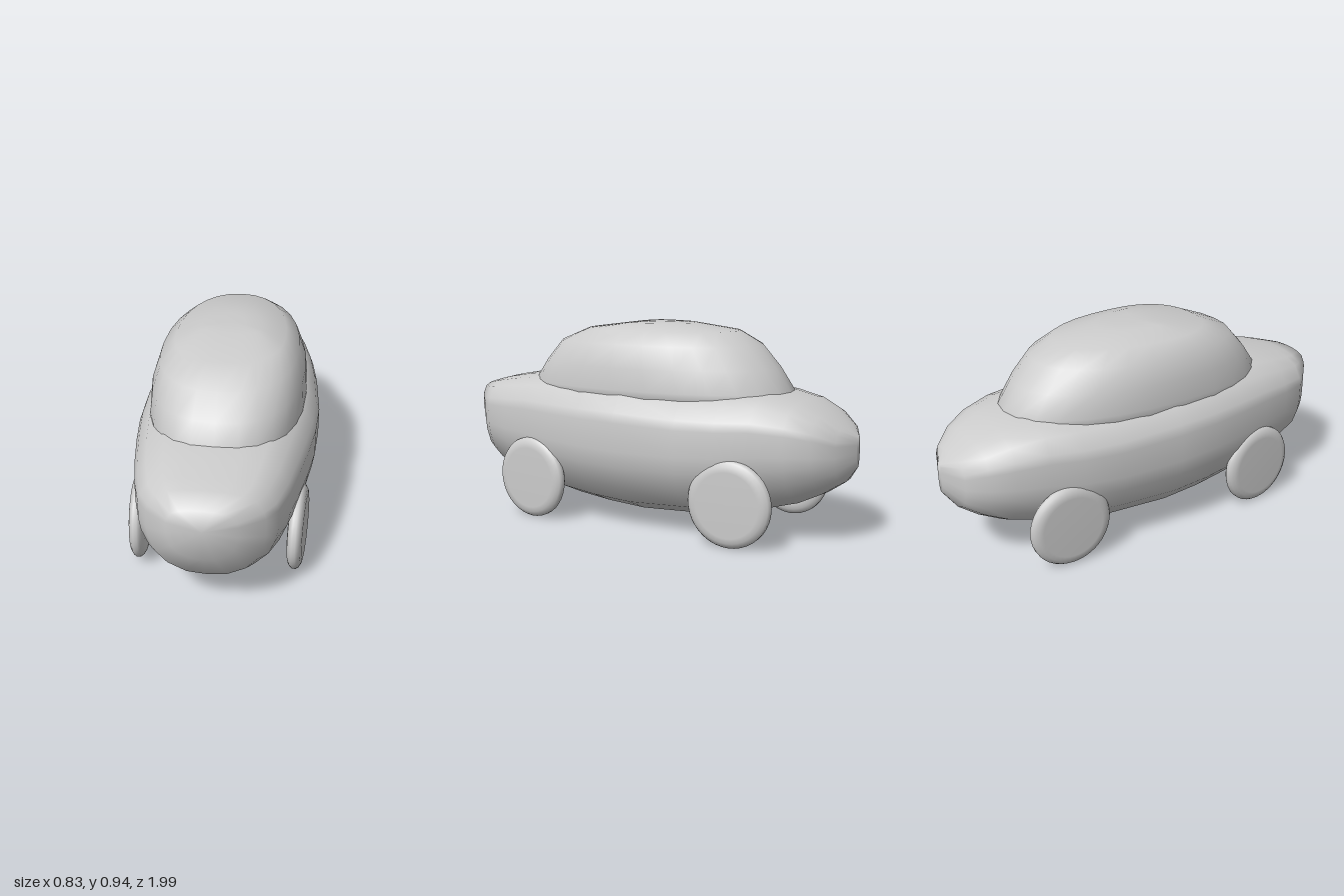
import * as THREE from 'three';

const material = new THREE.MeshStandardMaterial({ color: 0xcccccc });

// Smooth skin over a row of closed rings, each end closed to its centre
function loft(rings) {
  const n = rings[0].length;
  const points = rings.flat();
  const index = [];
  for (let i = 0; i < rings.length - 1; i++) {
    for (let j = 0; j < n; j++) {
      const k = (j + 1) % n;
      const a = i * n + j, b = i * n + k, c = b + n, d = a + n;
      index.push(a, b, c, a, c, d);
    }
  }
  for (const end of [0, rings.length - 1]) {
    const centre = new THREE.Vector3();
    rings[end].forEach((p) => centre.addScaledVector(p, 1 / n));
    const id = points.push(centre) - 1;
    for (let j = 0; j < n; j++) {
      const a = end * n + j, b = end * n + ((j + 1) % n);
      if (end === 0) index.push(id, b, a);
      else index.push(id, a, b);
    }
  }
  const geometry = new THREE.BufferGeometry().setFromPoints(points);
  geometry.setIndex(index);
  geometry.computeVertexNormals();
  return geometry;
}

function addMesh(parent, name, geometry) {
  const mesh = new THREE.Mesh(geometry, material);
  mesh.name = name;
  parent.add(mesh);
  return mesh;
}

// Lower body: one rounded cross-section scaled along z
function bodyGeometry() {
  const half = [[0, 0], [0.34, 0.016], [0.67, 0.11], [0.87, 0.24], [0.97, 0.4], [1, 0.52],
    [1, 0.72], [0.96, 0.79], [0.84, 0.91], [0.62, 0.965], [0.36, 0.99], [0, 1]];
  const profile = [...half, ...half.slice(1, -1).reverse().map(([u, v]) => [-u, v])];
  // z, bottom, top, half width
  const sections = [
    [-1, 0.345, 0.485, 0.02], [-0.95, 0.275, 0.525, 0.15], [-0.87, 0.22, 0.585, 0.225],
    [-0.77, 0.17, 0.63, 0.28], [-0.63, 0.13, 0.66, 0.325], [-0.48, 0.09, 0.665, 0.365],
    [-0.3, 0.066, 0.67, 0.393], [0, 0.05, 0.69, 0.417], [0.2, 0.06, 0.69, 0.41],
    [0.38, 0.078, 0.688, 0.388], [0.55, 0.105, 0.683, 0.36], [0.7, 0.135, 0.664, 0.33],
    [0.83, 0.18, 0.64, 0.29], [0.89, 0.205, 0.627, 0.245], [0.99, 0.36, 0.6, 0.145],
  ];
  return loft(sections.map(([z, y0, y1, w]) =>
    profile.map(([u, v]) => new THREE.Vector3(u * w, y0 + v * (y1 - y0), z))));
}

// Cabin: stacked rounded outlines that shrink towards the roof
function cabinGeometry() {
  // y, front z, back z, half width
  const levels = [
    [0.56, 0.655, -0.69, 0.355], [0.65, 0.655, -0.68, 0.353], [0.75, 0.58, -0.61, 0.345],
    [0.85, 0.49, -0.52, 0.312], [0.91, 0.34, -0.41, 0.25], [0.94, 0.11, -0.19, 0.14],
    [0.944, 0.04, -0.11, 0.06],
  ];
  const n = 28;
  const round = (t, power) => Math.sign(t) * Math.abs(t) ** power;
  return loft(levels.map(([y, front, back, w]) => {
    const ring = [];
    for (let j = 0; j < n; j++) {
      const a = (j / n) * Math.PI * 2;
      const s = -Math.sin(a);
      const power = s > 0 ? 0.82 : 0.92; // the front is a little squarer
      const mid = Math.min(0.05, front - 0.02);
      const reach = s > 0 ? front - mid : mid - back;
      ring.push(new THREE.Vector3(w * round(Math.cos(a), power), y, mid + reach * round(s, power)));
    }
    return ring;
  }));
}

// Plain disc wheel with a rounded rim, turning on the x axis
function wheelGeometry() {
  const t = 0.033;
  const half = [[0.001, t], [0.145, t], [0.168, 0.029], [0.185, 0.019], [0.193, 0.008]];
  const profile = [...half.map(([r, y]) => new THREE.Vector2(r, -y)),
    ...half.slice().reverse().map(([r, y]) => new THREE.Vector2(r, y))];
  profile[0].x = profile[profile.length - 1].x = 0;
  return new THREE.LatheGeometry(profile, 40).rotateZ(Math.PI / 2);
}

export function createModel() {
  const car = new THREE.Group();
  car.name = 'car';
  addMesh(car, 'body', bodyGeometry());
  addMesh(car, 'cabin', cabinGeometry());

  // Wheels, each turned slightly to follow the side of the body
  const wheel = wheelGeometry();
  for (const [end, x, z, yaw] of [['front', 0.358, 0.5, -0.06], ['rear', 0.334, -0.55, 0.06]]) {
    for (const [side, s] of [['Left', 1], ['Right', -1]]) {
      const mesh = addMesh(car, `${end}${side}Wheel`, wheel);
      mesh.position.set(s * x, 0.195, z);
      mesh.rotation.y = s * yaw;
    }
  }
  return car;
}
